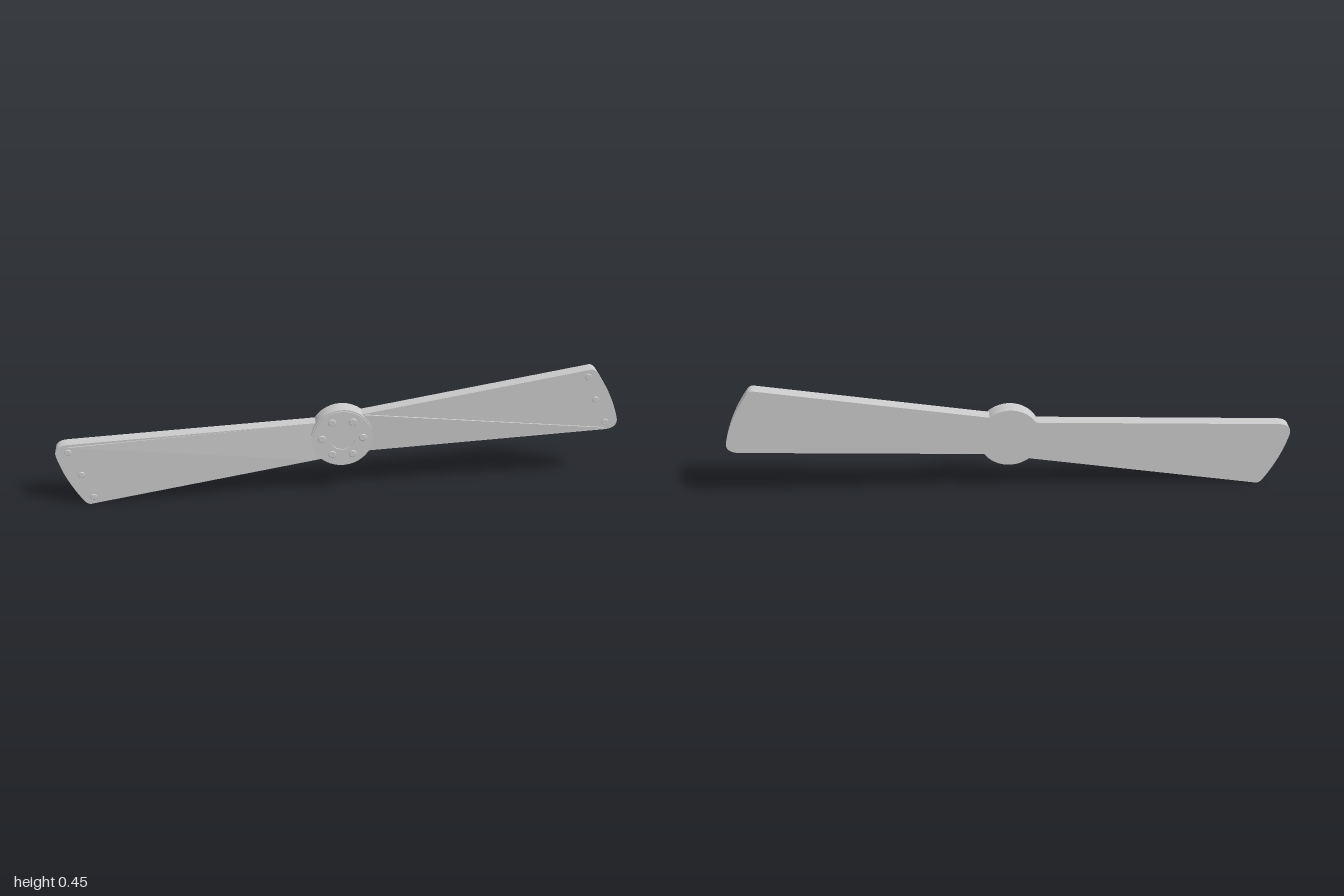
import * as THREE from 'three';

const BACK = -0.031, FACE = 0.0135, MID_Y = 0.2225, HUB = [0.007, 0.225];

export function createModel() {
  const model = new THREE.Group();
  model.name = 'propeller';
  const material = new THREE.MeshStandardMaterial({ color: 0xcccccc });
  const thin = new THREE.MeshStandardMaterial({ color: 0xcccccc, side: THREE.DoubleSide, flatShading: true });

  const add = (parent, name, geometry, mat = material) => {
    const mesh = new THREE.Mesh(geometry, mat);
    mesh.name = name;
    parent.add(mesh);
    return mesh;
  };
  const extrude = (shape, depth) =>
    new THREE.ExtrudeGeometry(shape, { depth, bevelEnabled: false, curveSegments: 32 });
  const disc = (r) => new THREE.Shape().absarc(0, 0, r, 0, Math.PI * 2);
  // low rivet head with a chamfered rim, facing +z
  const rivet = (parent, name, x, y, z, r, h) => {
    const g = new THREE.CylinderGeometry(r * 0.85, r, h, 20).rotateX(Math.PI / 2);
    add(parent, name, g).position.set(x, y, z + h / 2);
  };

  // one blade in coordinates about the rotation axis, repeated half a turn on
  for (const side of [0, 1]) {
    const blade = new THREE.Group();
    blade.name = side ? 'rightBlade' : 'leftBlade';
    blade.position.y = MID_Y;
    blade.rotation.z = side * Math.PI;
    model.add(blade);

    // flared slab with rounded tip corners
    const s = new THREE.Shape();
    s.moveTo(0, -0.065);
    s.lineTo(0.10, -0.0595);
    s.lineTo(0.955, -0.019);
    s.quadraticCurveTo(1.004, -0.016, 0.999, 0.022);
    s.quadraticCurveTo(0.976, 0.118, 0.915, 0.207);
    s.quadraticCurveTo(0.903, 0.225, 0.888, 0.2222);
    s.lineTo(0.08, 0.087);
    s.lineTo(0, 0.073);
    add(blade, 'bladeSlab', extrude(s, FACE - BACK)).position.z = BACK;

    // shallow wedge with its high edge along the diagonal
    const wedge = new THREE.BufferGeometry();
    wedge.setAttribute('position', new THREE.Float32BufferAttribute([
      0.085, 0.086, 0.0195, 0.955, -0.01, 0.018, 0.10, -0.059, FACE,
      0.085, 0.086, FACE, 0.955, -0.01, FACE,
    ], 3));
    wedge.setIndex([0, 2, 1, 0, 1, 4, 0, 4, 3, 0, 3, 2, 1, 2, 4]);
    const flat = wedge.toNonIndexed();
    flat.computeVertexNormals();
    add(blade, 'faceWedge', flat, thin);

    // three rivets along the tip
    for (const [x, y] of [[0.88, 0.195], [0.915, 0.103], [0.955, 0.012]])
      rivet(blade, 'tipRivet', x, y, FACE, 0.012, 0.002);
  }

  // hub with a front plate, central recess and ring of bolts
  const hub = new THREE.Group();
  hub.name = 'hub';
  hub.position.set(HUB[0], HUB[1], 0);
  model.add(hub);
  const core = new THREE.CylinderGeometry(0.11, 0.11, 0.0245 - BACK, 64).rotateX(Math.PI / 2);
  add(hub, 'hubCore', core).position.z = (0.0245 + BACK) / 2;
  const plate = disc(0.105);
  plate.holes.push(new THREE.Path().absarc(0, 0, 0.045, 0, Math.PI * 2, true));
  add(hub, 'hubPlate', extrude(plate, 0.0045)).position.z = 0.0245;
  for (let i = 0; i < 6; i++) {
    const a = (i * Math.PI) / 3;
    rivet(hub, 'hubBolt', 0.073 * Math.cos(a), 0.073 * Math.sin(a), 0.029, 0.014, 0.002);
  }
  return model;
}
